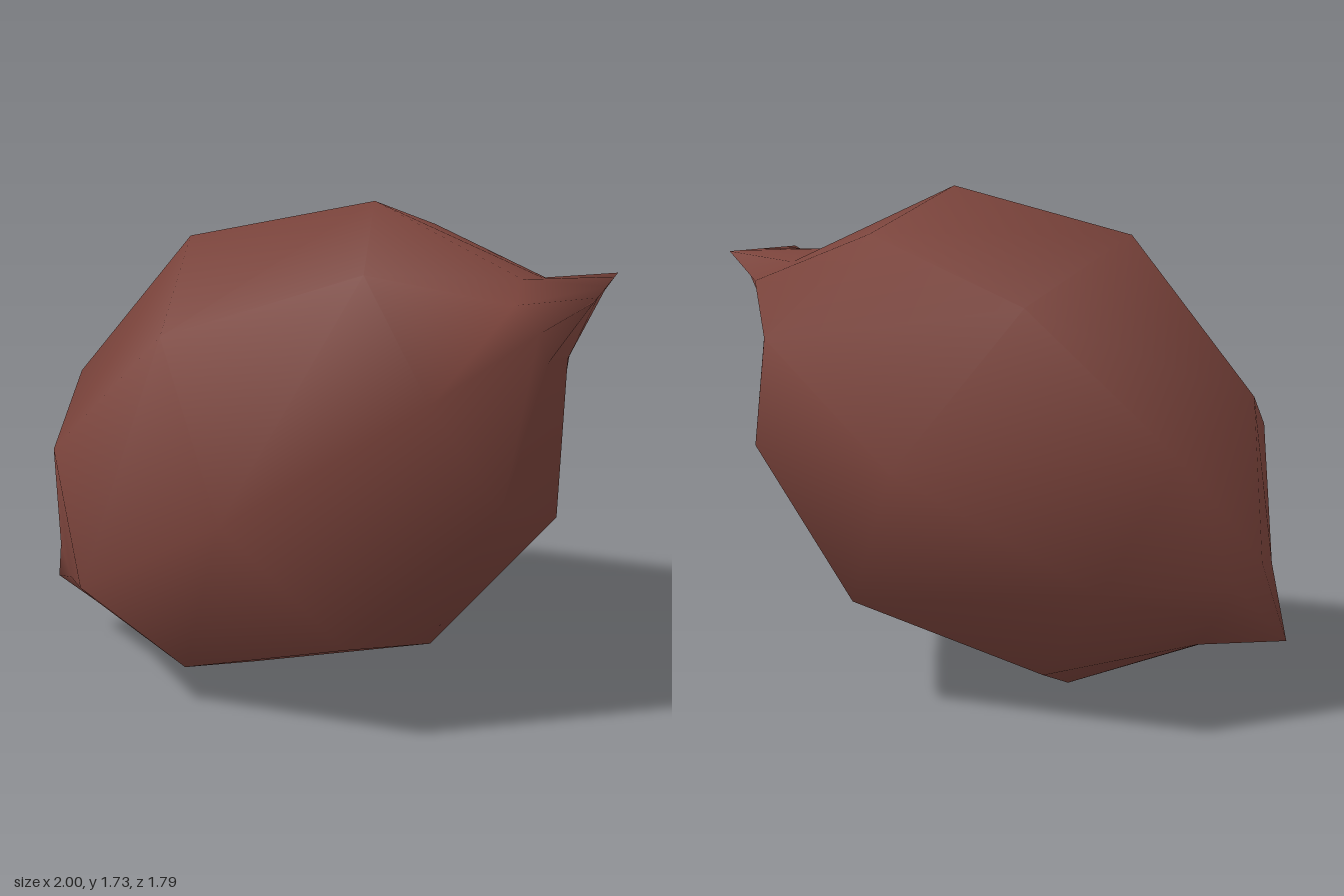
import * as THREE from 'three';
import { mergeVertices } from 'three/addons/utils/BufferGeometryUtils.js';

const SIDES = 8;
const TILT = Math.atan2(0.531, 0.847);

// Eight-sided rings along the long axis:
// s = place on axis, r = radius, side = half width in z, sideS = place of the two z corners
const rings = [
  { s: -1.18, r: 0, side: 0, sideS: -1.18 },          // pointed end
  { s: -0.97, r: 0.17, side: 0.24, sideS: -0.98, diagZ: 0.2 },
  { s: -0.643, r: 0.618, side: 0.65, sideS: -0.7 },
  { s: 0, r: 0.828, side: 0.895, sideS: 0 },
  { s: 0.643, r: 0.612, side: 0.65, sideS: 0.7 },
  { s: 0.95, r: 0.15, side: 0.3, sideS: 1.0, diagZ: 0.21 },
  { s: 1.18, r: 0, side: 0.222, sideS: 1.18, diagZ: 0.157 }, // wedge end
];

function bodyGeometry() {
  const pos = [], index = [];
  for (const { s, r, side, sideS, diagZ = r * Math.SQRT1_2 } of rings) {
    for (let k = 0; k < SIDES; k++) {
      const a = (k / SIDES) * Math.PI * 2;
      const isSide = k % 4 === 2, isDiag = k % 2 === 1;
      const sign = k < 4 ? 1 : -1;
      const z = isSide ? side * sign : isDiag ? diagZ * sign : 0;
      pos.push(isSide ? sideS : s, isSide ? 0 : r * Math.cos(a), z);
    }
  }
  for (let i = 0; i < rings.length - 1; i++) {
    for (let k = 0; k < SIDES; k++) {
      const n = (k + 1) % SIDES;
      const a = i * SIDES + k, b = i * SIDES + n;
      const c = a + SIDES, d = b + SIDES;
      if (i > 0) index.push(a, b, c);
      index.push(b, d, c);
    }
  }
  const geo = new THREE.BufferGeometry();
  geo.setAttribute('position', new THREE.Float32BufferAttribute(pos, 3));
  geo.setIndex(index);
  const merged = mergeVertices(geo, 1e-4);
  merged.computeVertexNormals();
  return merged;
}

export function createModel() {
  const group = new THREE.Group();
  group.name = 'taperedPod';
  const brown = new THREE.MeshStandardMaterial({ color: 0x7a433b });
  brown.name = 'reddish brown';

  // Tilted body with a pointed lower end and a wedge-shaped upper end
  const body = new THREE.Mesh(bodyGeometry(), brown);
  body.name = 'body';
  body.rotation.z = TILT;
  body.position.y = 0.868;
  group.add(body);
  return group;
}
